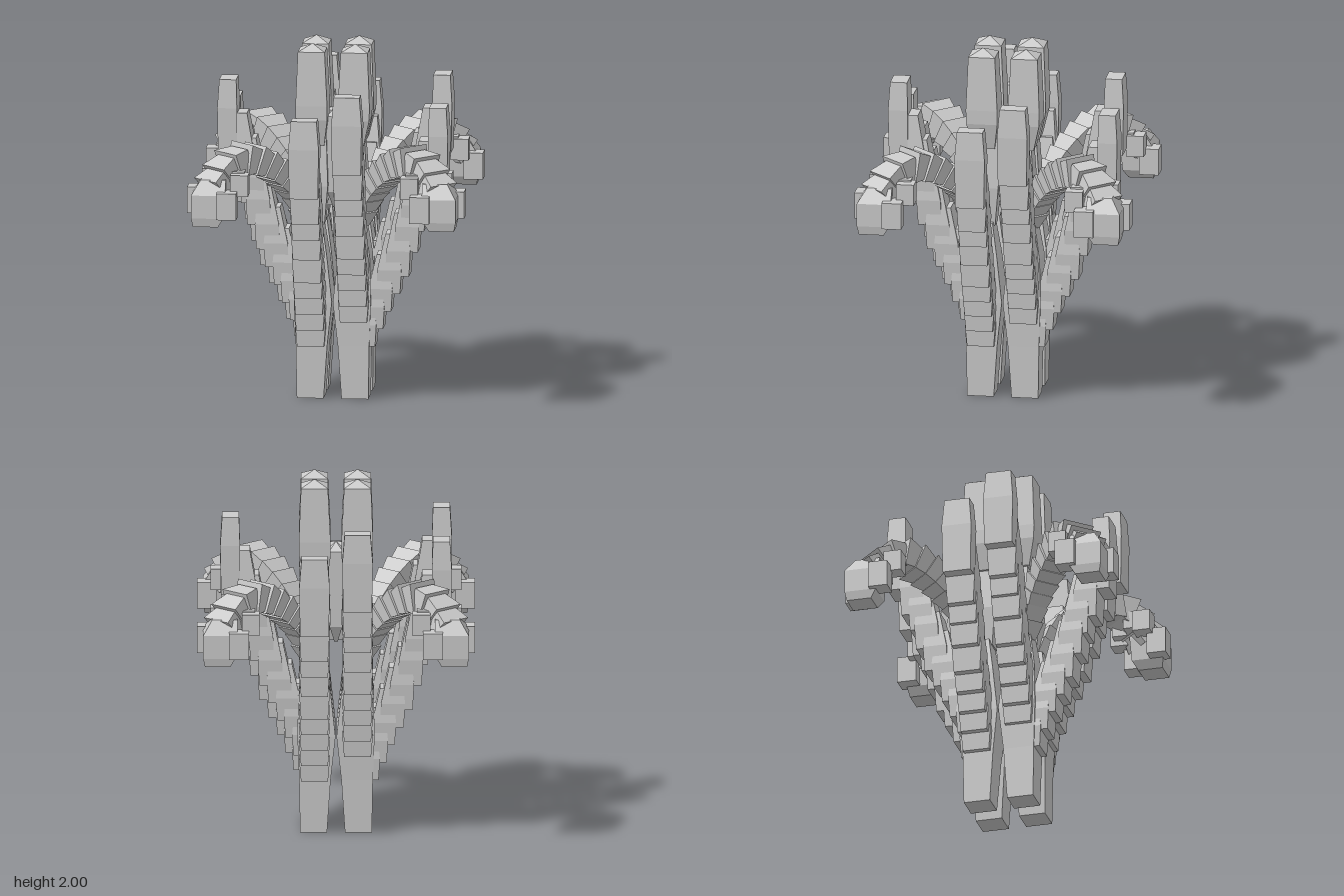
import * as THREE from 'three';

const material = new THREE.MeshStandardMaterial({ color: 0xcccccc, flatShading: true });

// Stack of rectangles: each ring is [y, x0, x1, z0, z1], from bottom to top
function loft(name, rings) {
  const pos = [];
  const corners = rings.map(([y, x0, x1, z0, z1]) => [[x0, y, z1], [x1, y, z1], [x1, y, z0], [x0, y, z0]]);
  const quad = (a, b, c, d) => pos.push(...a, ...b, ...c, ...a, ...c, ...d);
  for (let i = 0; i + 1 < corners.length; i++) {
    const lo = corners[i], hi = corners[i + 1];
    for (let k = 0; k < 4; k++) quad(lo[k], lo[(k + 1) % 4], hi[(k + 1) % 4], hi[k]);
  }
  const b = corners[0], t = corners[corners.length - 1];
  quad(b[3], b[2], b[1], b[0]);
  quad(t[0], t[1], t[2], t[3]);
  const geo = new THREE.BufferGeometry();
  geo.setAttribute('position', new THREE.Float32BufferAttribute(pos, 3));
  geo.computeVertexNormals();
  const mesh = new THREE.Mesh(geo, material);
  mesh.name = name;
  return mesh;
}

// Square ring with the same extent in x and z
const square = (y, a, b) => [y, a, b, a, b];

// Stepped row of overlapping tall blocks climbing outwards along +x, raised by lift
function makeChain(zMid, lift) {
  const chain = new THREE.Group();
  chain.name = 'outerChain';
  const steps = [ // bottom y, top y, outer x
    [0.3, 0.6, 0.245], [0.4, 0.71, 0.29], [0.5, 0.82, 0.335], [0.6, 0.94, 0.385],
    [0.7, 1.06, 0.435], [0.84, 1.2, 0.485], [0.96, 1.33, 0.52], [1.06, 1.47, 0.57],
  ];
  steps.forEach(([y0, y1, x]) => {
    chain.add(loft('chainBlock', [
      [y0, x - 0.14, x - 0.008, zMid - 0.075, zMid + 0.075],
      [y0 + (y1 - y0) * 0.4, x - 0.135, x, zMid - 0.085, zMid + 0.085],
      [y1, x - 0.09, x - 0.02, zMid - 0.065, zMid + 0.065],
    ]));
  });
  // tall fingertip
  chain.add(loft('fingertip', [
    [1.22, 0.535, 0.64, zMid - 0.08, zMid + 0.08],
    [1.5, 0.535, 0.645, zMid - 0.085, zMid + 0.085],
    [1.66, 0.54, 0.635, zMid - 0.072, zMid + 0.072],
  ]));
  chain.position.y = lift;
  return chain;
}

// Curved diagonal arm ending in a blocky hand
function makeArm() {
  const arm = new THREE.Group();
  arm.name = 'diagonalArm';
  const path = new THREE.CatmullRomCurve3([
    [0.16, 1.04], [0.2, 1.15], [0.26, 1.25], [0.33, 1.33], [0.41, 1.39], [0.48, 1.41], [0.55, 1.37], [0.6, 1.3],
  ].map(([d, y]) => new THREE.Vector3(d, y, d)));
  const count = 11;
  for (let i = 0; i < count; i++) {
    const t = i / (count - 1);
    const width = 0.12 + 0.07 * Math.min(1, t * 1.6);
    const geo = new THREE.BoxGeometry(width, width * 0.9, 0.105);
    // flare the outer end of each segment
    const p = geo.attributes.position;
    for (let v = 0; v < p.count; v++) {
      if (p.getZ(v) < 0) p.setXY(v, p.getX(v) * 0.72, p.getY(v) * 0.72);
    }
    geo.computeVertexNormals();
    const segment = new THREE.Mesh(geo, material);
    segment.name = 'armSegment';
    segment.position.copy(path.getPointAt(t));
    segment.lookAt(segment.position.clone().add(path.getTangentAt(t)));
    arm.add(segment);
  }
  // hand
  arm.add(loft('hand', [
    square(1.07, 0.59, 0.73), square(1.12, 0.56, 0.74), square(1.25, 0.55, 0.74), square(1.33, 0.55, 0.69),
  ]));
  // small side blocks: [x, y, z, width, height], mirrored across the diagonal
  [[0.72, 1.195, 0.54, 0.11, 0.15], [0.65, 1.3, 0.475, 0.1, 0.12], [0.59, 1.32, 0.5, 0.1, 0.1]].forEach(([x, y, z, w, h]) => {
    [[x, z], [z, x]].forEach(([px, pz]) => {
      const block = new THREE.Mesh(new THREE.BoxGeometry(w, h, w), material);
      block.name = 'knuckle';
      block.position.set(px, y, pz);
      arm.add(block);
    });
  });
  return arm;
}

// Foot, tower, two chains and an arm for one quarter
function makeQuarter() {
  const quarter = new THREE.Group();
  quarter.name = 'quarter';
  quarter.add(loft('foot', [
    square(0, 0.05, 0.2), square(0.3, 0.03, 0.205), square(0.55, 0.003, 0.215),
    square(0.8, 0.03, 0.21), square(1, 0.06, 0.18),
  ]));
  quarter.add(loft('towerStem', [square(0.98, 0.05, 0.15), square(1.2, 0.03, 0.17), square(1.5, 0.04, 0.15)]));
  quarter.add(loft('tower', [
    square(1.43, 0.05, 0.17), square(1.58, 0.03, 0.205),
    square(1.66, 0.03, 0.207), square(1.965, 0.045, 0.195), square(2, 0.115, 0.125),
  ]));
  // one chain of each pair stands higher than the other
  quarter.add(makeChain(0.12, 0), makeChain(-0.12, 0.14), makeArm());
  return quarter;
}

export function createModel() {
  const model = new THREE.Group();
  model.name = 'steppedSculpture';
  for (let k = 0; k < 4; k++) {
    const quarter = makeQuarter();
    quarter.rotation.y = k * Math.PI / 2;
    model.add(quarter);
  }
  // cross-shaped core between the towers
  for (const turn of [0, Math.PI / 2]) {
    const core = loft('core', [
      [1.06, -0.06, 0.06, -0.01, 0.01], [1.16, -0.13, 0.13, -0.035, 0.035],
      [1.59, -0.14, 0.14, -0.04, 0.04], [1.62, -0.02, 0.02, -0.003, 0.003],
    ]);
    core.rotation.y = turn;
    model.add(core);
  }
  return model;
}
